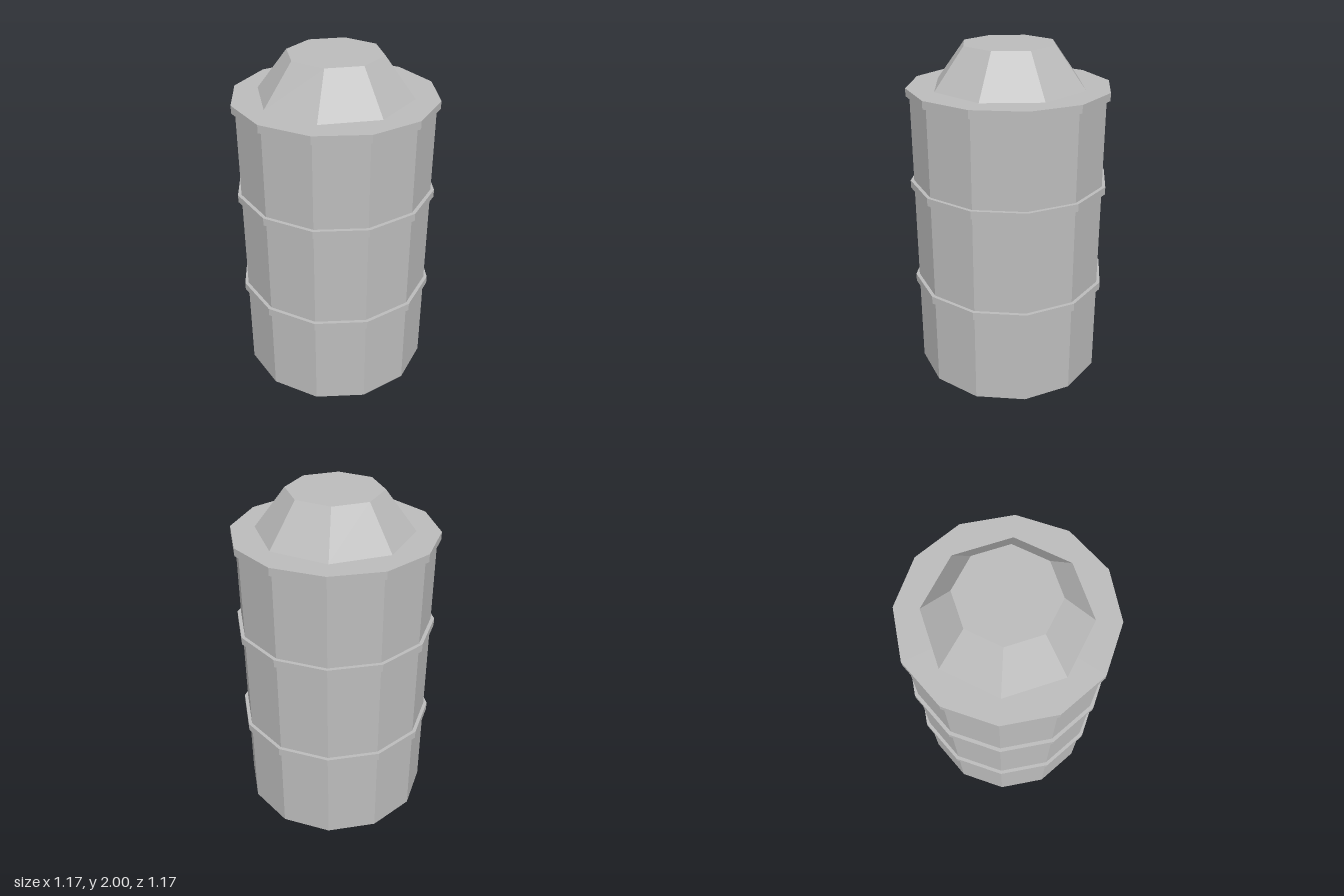
import * as THREE from 'three';

export function createModel() {
  const group = new THREE.Group();
  const metal = new THREE.MeshStandardMaterial({ color: 0xbcbcbc, flatShading: true });
  metal.name = 'grey metal';

  // Faceted round part standing between two heights
  function addRound(name, radiusTop, radiusBottom, y0, y1, sides) {
    const geometry = new THREE.CylinderGeometry(radiusTop, radiusBottom, y1 - y0, sides);
    const mesh = new THREE.Mesh(geometry, metal);
    mesh.name = name;
    mesh.position.y = (y0 + y1) / 2;
    group.add(mesh);
  }

  // Twelve-sided drum
  addRound('body', 0.565, 0.565, 0, 1.755, 12);

  // Hoops around the drum; the highest one closes the top
  addRound('lowerHoop', 0.586, 0.586, 0.55, 0.597, 12);
  addRound('middleHoop', 0.586, 0.586, 1.175, 1.22, 12);
  addRound('topRim', 0.586, 0.586, 1.722, 1.767, 12);

  // Eight-sided tapered cap
  addRound('cap', 0.272, 0.448, 1.767, 2, 8);

  return group;
}
